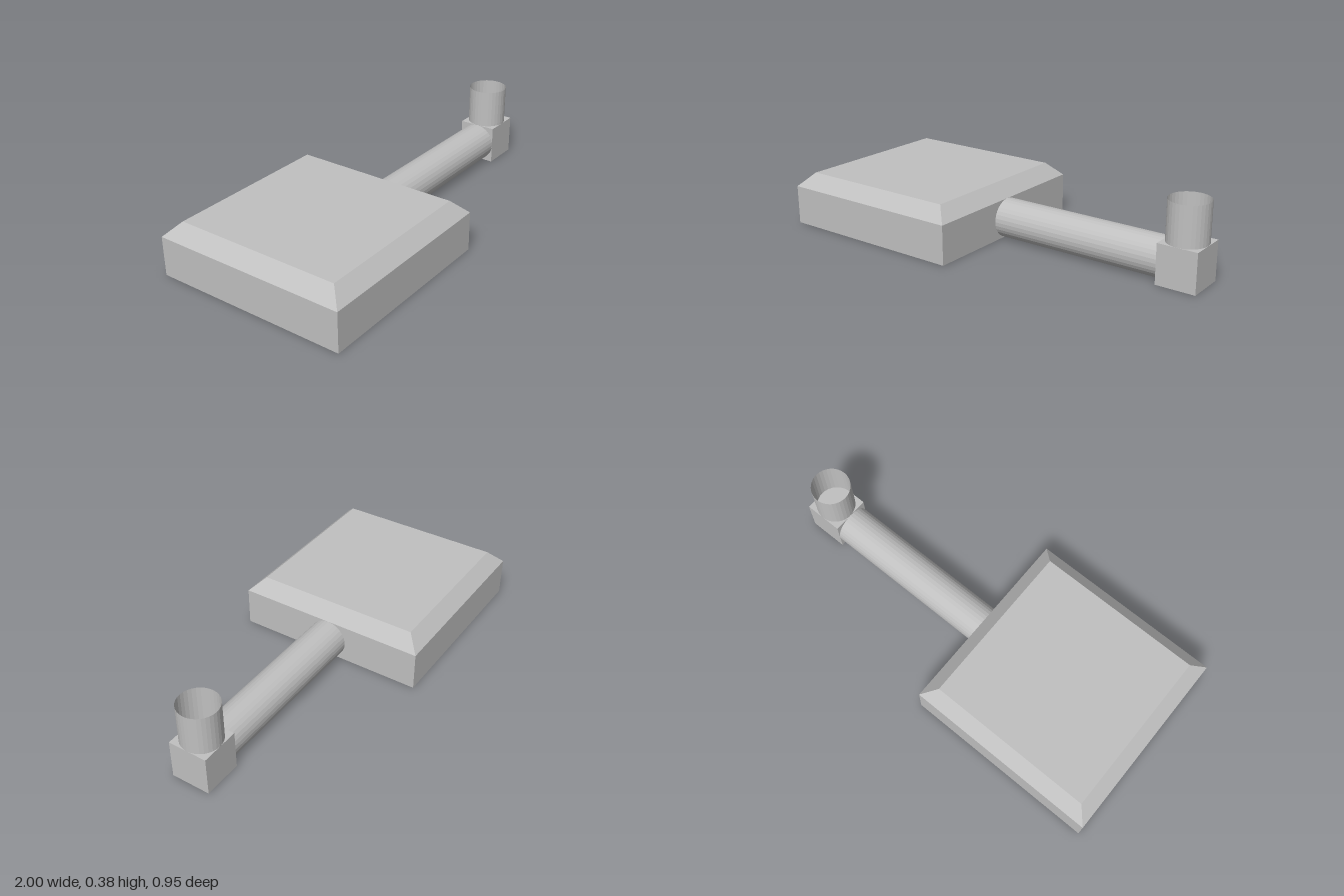
import * as THREE from 'three';

const grey = new THREE.MeshStandardMaterial({ color: 0xc0c0c0, flatShading: true });
grey.name = 'grey';
const greyOpen = grey.clone();
greyOpen.side = THREE.DoubleSide; // same grey, for the open pipes

export function createModel() {
  const model = new THREE.Group();
  model.name = 'slabWithPipe';
  const add = (name, geometry, material, x, y, z = 0) => {
    const mesh = new THREE.Mesh(geometry, material);
    mesh.name = name;
    mesh.position.set(x, y, z);
    model.add(mesh);
    return mesh;
  };

  const width = 0.95, depth = 0.954, wall = 0.191, top = 0.258, bevel = 0.067;
  const pipe = 0.191; // pipe diameter and elbow size

  // Square slab: straight walls below, bevelled rim above
  const slab = new THREE.BoxGeometry(width, 2, depth, 1, 2, 1);
  const p = slab.attributes.position;
  for (let i = 0; i < p.count; i++) {
    const level = Math.round(p.getY(i)) + 1; // 0 base, 1 wall top, 2 roof
    p.setY(i, [0, wall, top][level]);
    if (level === 2) {
      p.setX(i, p.getX(i) - Math.sign(p.getX(i)) * bevel);
      p.setZ(i, p.getZ(i) - Math.sign(p.getZ(i)) * bevel);
    }
  }
  slab.computeVertexNormals();
  add('bevelledSlab', slab, grey, -1 + width / 2, 0);

  // Horizontal pipe from the slab to the elbow
  const start = -1 + width, end = 1 - pipe;
  const tube = (length) => new THREE.CylinderGeometry(pipe / 2, pipe / 2, length, 32, 1, true);
  add('horizontalPipe', tube(end - start), greyOpen, (start + end) / 2, pipe / 2).rotation.z = Math.PI / 2;

  // Elbow block with the open upright pipe on it
  add('elbowBlock', new THREE.BoxGeometry(pipe, pipe, pipe), grey, 1 - pipe / 2, pipe / 2);
  add('uprightPipe', tube(pipe), greyOpen, 1 - pipe / 2, pipe * 1.5);

  return model;
}
